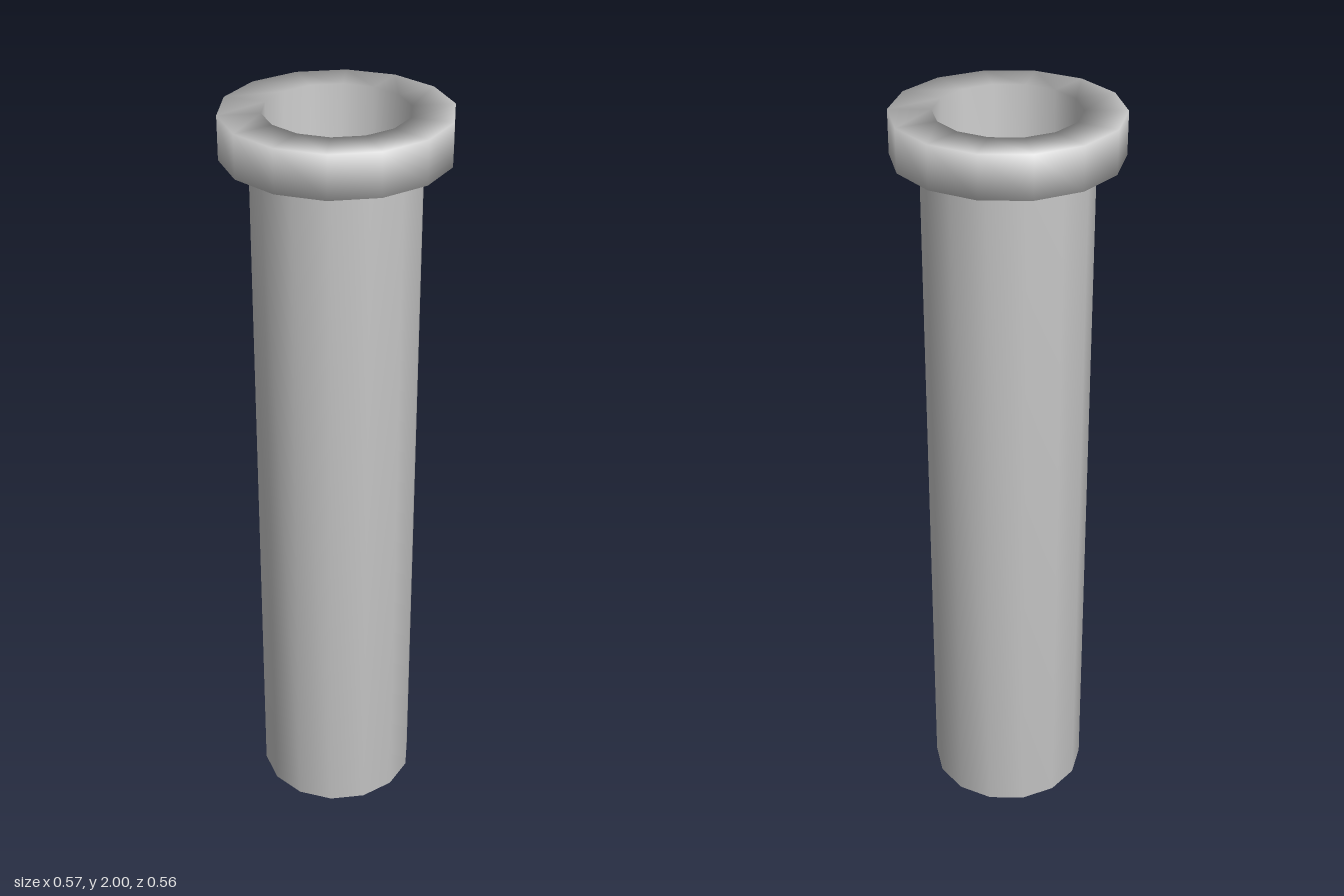
import * as THREE from 'three';

const SIDES = 14;

export function createModel() {
  const group = new THREE.Group();
  group.name = 'flangedTube';
  const material = new THREE.MeshStandardMaterial({ color: 0xcccccc });

  // Closed wall: outer base, shaft, collar, then down the bore to its floor
  const profile = [
    [0, 0], [0.213, 0],
    [0.213, 1.89], [0.285, 1.89],
    [0.285, 2], [0.18, 2],
    [0.18, 0.03], [0, 0.03],
  ].map(([r, y]) => new THREE.Vector2(r, y));

  // Start at +x so that a corner lies on the x axis; normals stay smooth
  const tube = new THREE.Mesh(
    new THREE.LatheGeometry(profile, SIDES, Math.PI / 2), material);
  tube.name = 'hollowTubeWithCollar';
  group.add(tube);
  return group;
}
